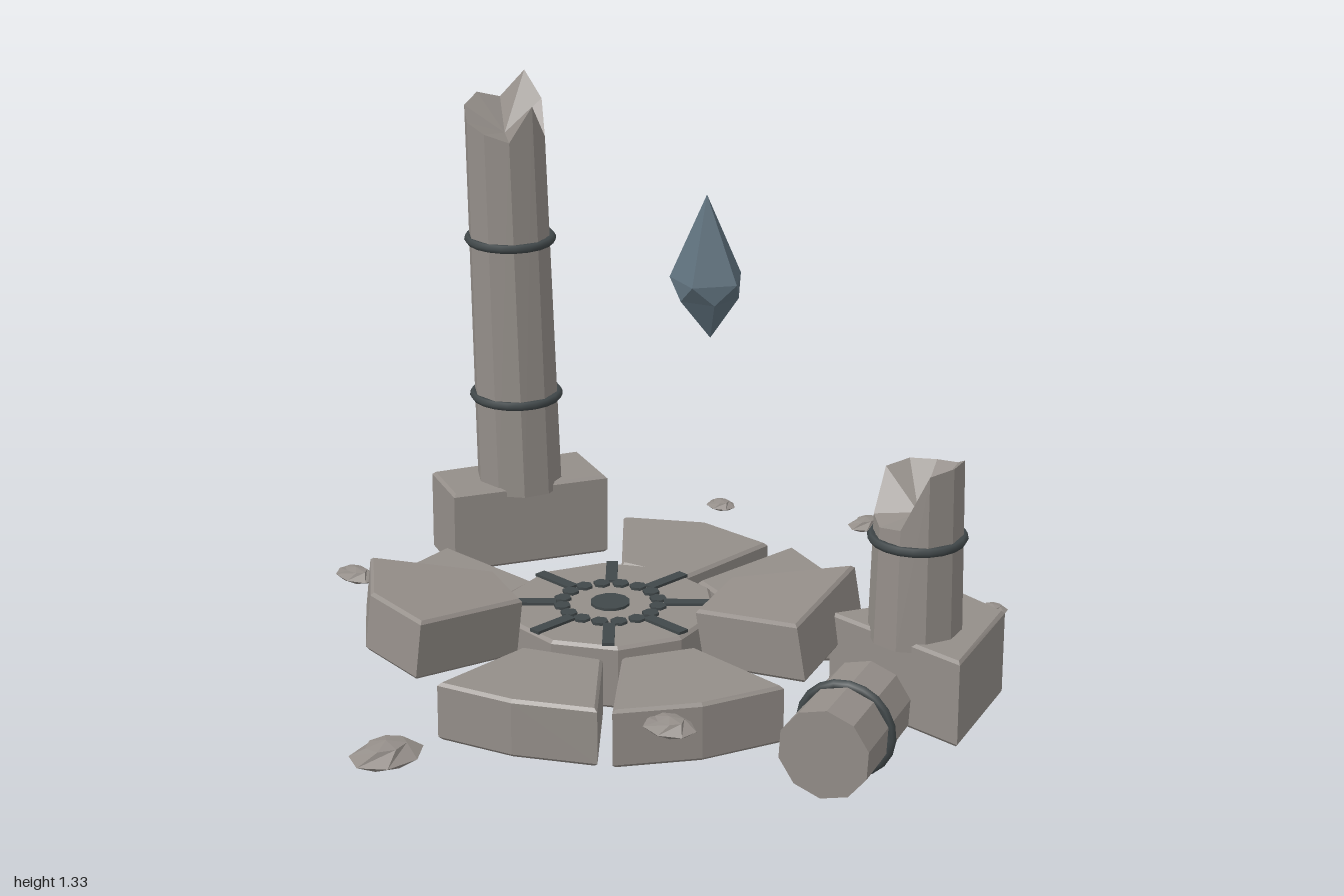
import * as THREE from 'three';

const stone = new THREE.MeshStandardMaterial({ color: 0x948e89 });
stone.name = 'weathered stone';
const iron = new THREE.MeshStandardMaterial({ color: 0x41484a });
iron.name = 'dark inlay';
const gem = new THREE.MeshStandardMaterial({ color: 0x5f717d });
gem.name = 'slate crystal';

const CX = -0.105, CZ = -0.012; // centre of the paved circle

function add(parent, name, geometry, material, x = 0, y = 0, z = 0) {
  const mesh = new THREE.Mesh(geometry, material);
  mesh.name = name;
  mesh.position.set(x, y, z);
  parent.add(mesh);
  return mesh;
}

// One horizontal ring of n points; y may be a number or a list of heights
function ring(n, r, y, turn = 0, cx = 0, cz = 0) {
  return Array.from({ length: n }, (_, i) => {
    const a = turn + (i / n) * Math.PI * 2;
    return [cx + Math.cos(a) * r, Array.isArray(y) ? y[i] : y, cz + Math.sin(a) * r];
  });
}

// Faceted solid through stacked rings, closed by a point at each end
function loft(rings, bottom, top) {
  const p = [], n = rings[0].length;
  const tri = (a, b, c) => p.push(...a, ...b, ...c);
  for (let i = 0; i < n; i++) {
    const j = (i + 1) % n, last = rings[rings.length - 1];
    tri(rings[0][i], rings[0][j], bottom);
    for (let k = 0; k + 1 < rings.length; k++) {
      const lo = rings[k], hi = rings[k + 1];
      tri(lo[i], hi[i], lo[j]);
      tri(hi[i], hi[j], lo[j]);
    }
    tri(last[i], top, last[j]);
  }
  const g = new THREE.BufferGeometry();
  g.setAttribute('position', new THREE.Float32BufferAttribute(p, 3));
  g.computeVertexNormals();
  return g;
}

// Bevelled slab from an x/z outline, centred on y = 0
function slab(points, height, bevel = 0.008) {
  const shape = new THREE.Shape(points.map(([x, z]) => new THREE.Vector2(x, z)));
  const g = new THREE.ExtrudeGeometry(shape, {
    depth: height - 2 * bevel, bevelEnabled: true, bevelSize: bevel,
    bevelThickness: bevel, bevelOffset: -bevel, bevelSegments: 1,
  });
  g.rotateX(Math.PI / 2);
  g.translate(0, height / 2 - bevel, 0);
  return g;
}

function band(parent, r, x, y, z) {
  const g = new THREE.TorusGeometry(r, 0.012, 6, 20).rotateX(Math.PI / 2);
  return add(parent, 'columnBand', g, iron, x, y, z);
}

// Broken column: jagged rim, hollowed break and iron bands
function column(parent, name, x, z, lean, heights, breakY, bandYs) {
  const group = new THREE.Group();
  group.name = name;
  group.position.set(x, 0, z);
  const top = Math.max(...heights), r0 = 0.115, r1 = 0.107;
  const rim = ring(heights.length, r1, heights, 0, lean[0], lean[1]);
  add(group, 'shaft', loft([ring(heights.length, r0, 0.2), rim], [0, 0.2, 0], [lean[0], breakY, lean[1]]), stone);
  for (const y of bandYs) {
    const t = (y - 0.2) / (top - 0.2);
    band(group, r0 + (r1 - r0) * t, lean[0] * t, y, lean[1] * t);
  }
  parent.add(group);
}

export function createModel() {
  const model = new THREE.Group();
  model.name = 'ruinedShrine';

  // Central disc with dark inlay
  add(model, 'centreDisc', slab(ring(10, 0.272, 0, 0.07).map(([x, , z]) => [x, z]), 0.165), stone, CX, 0.0825, CZ);
  const inlay = new THREE.Group();
  inlay.name = 'discInlay';
  inlay.position.set(CX, 0.168, CZ);
  model.add(inlay);
  add(inlay, 'hub', new THREE.CylinderGeometry(0.05, 0.05, 0.008, 12), iron);
  for (let i = 0; i < 16; i++) {
    const a = ((i + 0.5) / 16) * Math.PI * 2;
    add(inlay, 'stud', new THREE.CylinderGeometry(0.022, 0.022, 0.008, 6), iron, Math.cos(a) * 0.122, 0, Math.sin(a) * 0.122);
  }
  for (let i = 0; i < 8; i++) {
    const a = (i / 8) * Math.PI * 2;
    const spoke = add(inlay, 'spoke', new THREE.BoxGeometry(0.125, 0.008, 0.03), iron, Math.cos(a) * 0.197, 0, Math.sin(a) * 0.197);
    spoke.rotation.y = -a;
  }

  // Ring of paving slabs: outline, middle height, outward tilt
  const paving = [
    [[[-0.53, -0.47], [-0.35, -0.6], [-0.13, -0.61], [-0.12, -0.29], [-0.3, -0.24]], 0.075, 0],
    [[[-0.07, -0.64], [0.11, -0.585], [0.32, -0.46], [0.1, -0.255], [-0.08, -0.3]], 0.075, 0],
    [[[0.36, -0.425], [0.515, -0.05], [0.195, -0.025], [0.11, -0.235]], 0.187, 0.17],
    [[[0.205, 0], [0.515, 0.01], [0.45, 0.22], [0.33, 0.4], [0.125, 0.17]], 0.075, 0],
    [[[0.1, 0.21], [0.3, 0.42], [0.12, 0.53], [-0.075, 0.59], [-0.09, 0.3]], 0.075, 0],
    [[[-0.3, 0.21], [-0.12, 0.28], [-0.13, 0.6], [-0.34, 0.58], [-0.53, 0.42]], 0.205, 0.11],
    [[[-0.7, 0.01], [-0.37, 0.005], [-0.33, 0.21], [-0.55, 0.385], [-0.67, 0.2]], 0.075, 0],
  ];
  for (const [pts, y, tilt] of paving) {
    const mx = pts.reduce((s, p) => s + p[0], 0) / pts.length;
    const mz = pts.reduce((s, p) => s + p[1], 0) / pts.length;
    const mesh = add(model, 'pavingSlab', slab(pts.map(([x, z]) => [x - mx, z - mz]), 0.15), stone, mx, y, mz);
    const axis = new THREE.Vector3(CZ - mz, 0, mx - CX).normalize();
    mesh.quaternion.setFromAxisAngle(axis, tilt);
  }

  // Plinths
  const tallPlinth = [[-0.835, -0.59], [-0.64, -0.515], [-0.82, -0.122], [-0.995, -0.197]];
  const shortPlinth = [[0.555, -0.595], [0.7, -0.58], [0.825, -0.265], [0.41, -0.265]];
  add(model, 'tallPlinth', slab(tallPlinth, 0.224), stone, 0, 0.112, 0);
  add(model, 'shortPlinth', slab(shortPlinth, 0.224), stone, 0, 0.112, 0);

  // Standing columns
  column(model, 'tallColumn', -0.812, -0.352, [-0.02, 0.02],
    [1.27, 1.18, 1.2, 1.22, 1.25, 1.27, 1.25, 1.325, 1.26, 1.175], 1.18, [0.46, 0.895]);
  column(model, 'shortColumn', 0.607, -0.352, [0, 0],
    [0.66, 0.65, 0.51, 0.5, 0.51, 0.61, 0.62, 0.62, 0.63, 0.66], 0.52, [0.46]);

  // Fallen column drum
  const drum = new THREE.Group();
  drum.name = 'fallenDrum';
  drum.position.set(0.835, 0.193, 0.145);
  drum.quaternion.setFromUnitVectors(new THREE.Vector3(0, 1, 0), new THREE.Vector3(0.37, -0.03, 0.93).normalize());
  add(drum, 'drumBody', loft([ring(10, 0.108, -0.143), ring(10, 0.112, 0.143)], [0, -0.143, 0], [0, 0.143, 0]), stone);
  band(drum, 0.111, 0, 0, 0);
  model.add(drum);

  // Floating crystal
  const turn = -0.05;
  add(model, 'crystal', loft(
    [ring(5, 0.078, -0.045, turn - Math.PI / 5), ring(5, 0.096, 0.005, turn)],
    [0.01, -0.15, 0], [-0.005, 0.22, 0]), gem, -0.105, 0.94, -0.352);

  // Scattered rocks: x, z, half width, half depth, turn
  const rocks = [
    [-0.08, -0.942, 0.043, 0.058, 0.2], [-0.45, -0.762, 0.043, 0.036, 0.1],
    [0.53, -0.74, 0.04, 0.04, 0.5], [0.32, -0.665, 0.056, 0.053, 0.3],
    [0.635, -0.05, 0.036, 0.03, 0], [0.445, 0.325, 0.072, 0.056, 0],
    [-0.767, 0.265, 0.066, 0.043, 0], [0.095, 0.893, 0.075, 0.097, 0.1],
    [0.52, -0.52, 0.045, 0.05, 0.4],
  ];
  for (const [x, z, w, d, t] of rocks) {
    const g = loft([ring(7, 0.7, -0.35, t), ring(7, 1, 0, t + 0.45), ring(7, 0.55, 0.6, t)], [0, -0.35, 0], [0, 0.8, 0]);
    g.scale(w, (w + d) * 0.26, d);
    g.computeVertexNormals();
    add(model, 'rock', g, stone, x, 0.124, z);
  }
  const chunk = new THREE.DodecahedronGeometry(1).scale(0.092, 0.068, 0.076);
  chunk.computeVertexNormals();
  add(model, 'rubbleChunk', chunk, stone, 0.41, 0.15, -0.63).rotation.set(0.3, 0.4, 0.2);

  return model;
}
